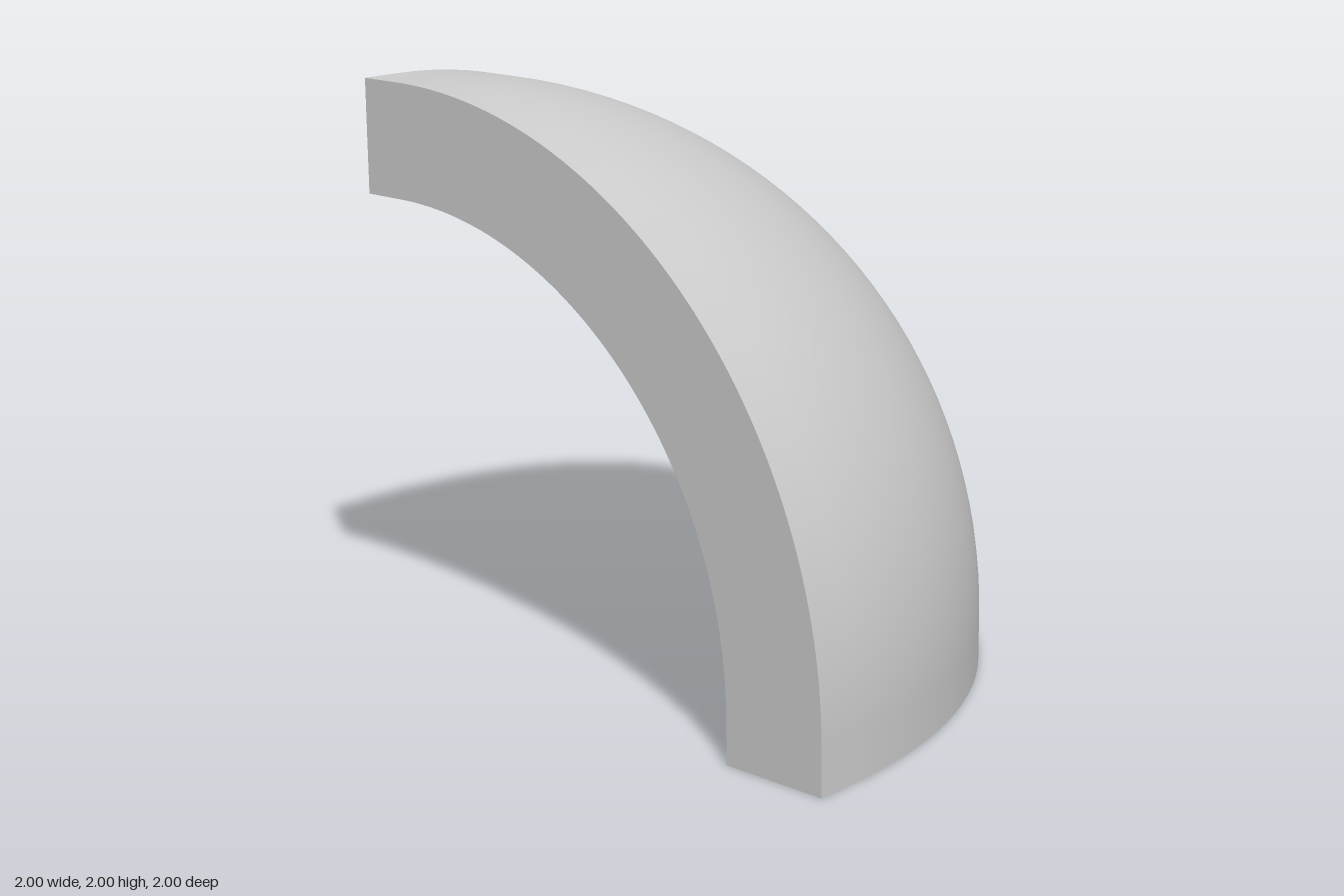
import * as THREE from 'three';

const SIZE = 2;      // overall edge length
const FLAT = 0.16;   // straight run beside each cut face
const WALL = 0.39;   // shell thickness
const STEPS = 40;    // segments per quarter arc

// Rounded corner: a sphere octant with straight strips added along its three borders.
// The grid's first and last rows and columns repeat a border, pulled out to the cut plane.
function cornerSkin(radius, inward) {
  const positions = [], normals = [], index = [];
  const count = STEPS + 3;
  const angle = k => THREE.MathUtils.clamp(k - 1, 0, STEPS) / STEPS * Math.PI / 2;
  const sign = inward ? -1 : 1;
  for (let i = 0; i < count; i++) {
    for (let j = 0; j < count; j++) {
      const polar = angle(i), turn = angle(j);
      const d = new THREE.Vector3(
        Math.sin(polar) * Math.sin(turn), Math.cos(polar), Math.sin(polar) * Math.cos(turn));
      const p = d.clone().multiplyScalar(radius).addScalar(FLAT);
      if (j === 0 || i === 0) p.x = 0;
      if (j === count - 1 || i === 0) p.z = 0;
      if (i === count - 1) p.y = 0;
      positions.push(p.x, p.y, p.z);
      normals.push(d.x * sign, d.y * sign, d.z * sign);
      if (i < count - 1 && j < count - 1) {
        const a = i * count + j, b = a + count;
        if (inward) index.push(a, b + 1, b, a, a + 1, b + 1);
        else index.push(a, b, b + 1, a, b + 1, a + 1);
      }
    }
  }
  const geometry = new THREE.BufferGeometry();
  geometry.setAttribute('position', new THREE.Float32BufferAttribute(positions, 3));
  geometry.setAttribute('normal', new THREE.Float32BufferAttribute(normals, 3));
  geometry.setIndex(index);
  return geometry;
}

// Flat quarter band that closes the wall on a cut plane
function cutFace(radius) {
  const inner = SIZE - WALL;
  const shape = new THREE.Shape();
  shape.moveTo(inner, 0);
  shape.lineTo(SIZE, 0);
  shape.lineTo(SIZE, FLAT);
  shape.absarc(FLAT, FLAT, radius, 0, Math.PI / 2, false);
  shape.lineTo(0, SIZE);
  shape.lineTo(0, inner);
  shape.lineTo(FLAT, inner);
  shape.absarc(FLAT, FLAT, radius - WALL, Math.PI / 2, 0, true);
  shape.closePath();
  return new THREE.ShapeGeometry(shape, STEPS);
}

export function createModel() {
  const group = new THREE.Group();
  group.name = 'roundedCornerShell';
  const material = new THREE.MeshStandardMaterial({ color: 0xcccccc });
  const radius = SIZE - FLAT;

  const add = (name, geometry) => {
    const mesh = new THREE.Mesh(geometry, material);
    mesh.name = name;
    mesh.position.set(-SIZE / 2, 0, -SIZE / 2);
    group.add(mesh);
  };

  // Curved skins
  add('outerSkin', cornerSkin(radius, false));
  add('innerSkin', cornerSkin(radius - WALL, true));

  // Cut faces of the wall
  add('sideCutFace', cutFace(radius).rotateY(-Math.PI / 2));
  add('bottomCutFace', cutFace(radius).rotateX(Math.PI / 2));
  add('backCutFace', cutFace(radius).rotateZ(-Math.PI / 2).rotateX(Math.PI));

  return group;
}
